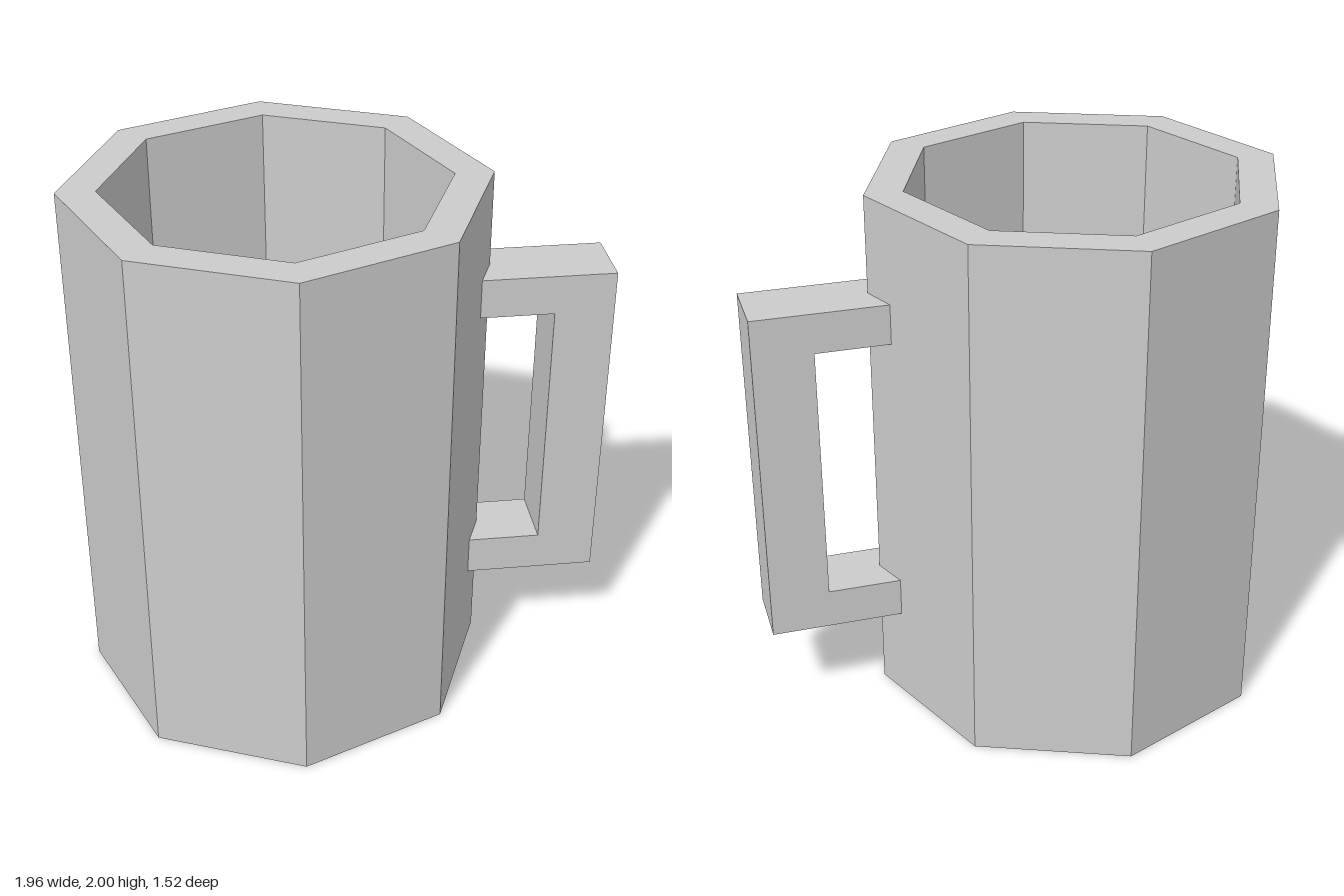
import * as THREE from 'three';

export function createModel() {
  const group = new THREE.Group();
  const material = new THREE.MeshStandardMaterial({ color: 0xcccccc, flatShading: true });
  const points = (list) => list.map(([x, y]) => new THREE.Vector2(x, y));

  // Eight-sided hollow cup: base, outer wall, rim, inner wall, floor
  const outer = 0.76, inner = 0.62, floor = 0.14;
  const profile = points([[0, 0], [outer, 0], [outer, 2], [inner, 2], [inner, floor], [0, floor]]);
  const cup = new THREE.Mesh(new THREE.LatheGeometry(profile, 8), material);
  cup.name = 'cup';
  cup.position.x = -0.22;
  group.add(cup);

  // Square-cornered handle whose ends sink into the wall
  const depth = 0.25;
  const outline = new THREE.Shape(points([
    [0.485, 0.36], [0.98, 0.36], [0.98, 1.64], [0.485, 1.64],
    [0.485, 1.49], [0.76, 1.49], [0.76, 0.51], [0.485, 0.51],
  ]));
  const handleGeometry = new THREE.ExtrudeGeometry(outline, { depth, bevelEnabled: false });
  handleGeometry.translate(0, 0, -depth / 2);
  const handle = new THREE.Mesh(handleGeometry, material);
  handle.name = 'handle';
  group.add(handle);

  return group;
}
